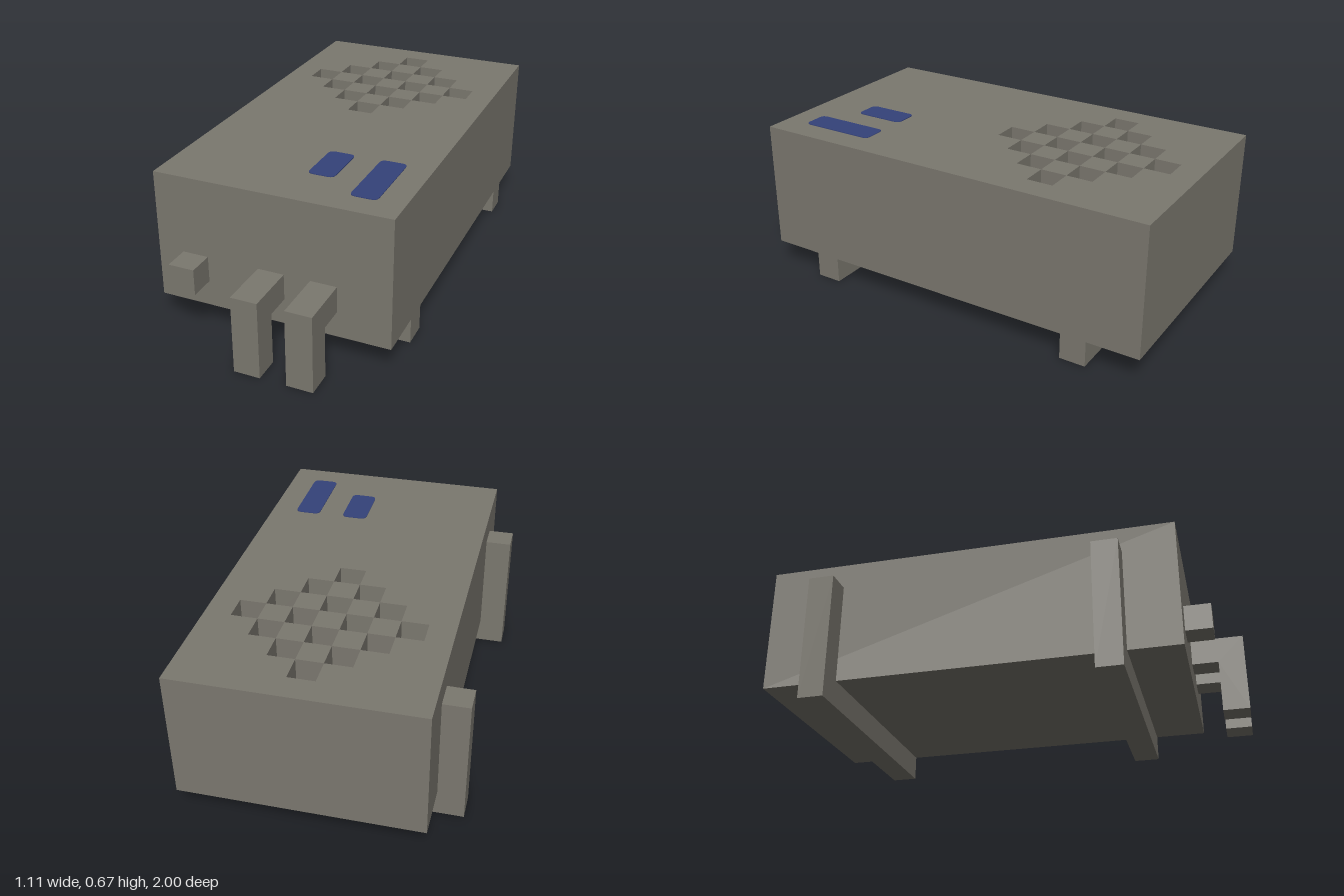
import * as THREE from 'three';
import { mergeGeometries } from 'three/addons/utils/BufferGeometryUtils.js';

const U = 1 / 9; // one modelling unit

export function createModel() {
  const model = new THREE.Group();
  const grey = new THREE.MeshStandardMaterial({ color: 0x7b786f });
  grey.name = 'warm grey';
  const blue = new THREE.MeshStandardMaterial({ color: 0x34427a });
  blue.name = 'navy blue';

  const add = (name, geometry, material = grey) => {
    const mesh = new THREE.Mesh(geometry, material);
    mesh.name = name;
    model.add(mesh);
    return mesh;
  };

  // Box given by its minimum and maximum corners, in units
  const box = (x0, y0, z0, x1, y1, z1) =>
    new THREE.BoxGeometry((x1 - x0) * U, (y1 - y0) * U, (z1 - z0) * U)
      .translate((x0 + x1) / 2 * U, (y0 + y1) / 2 * U, (z0 + z1) / 2 * U);

  // Upward facing rectangle
  const floor = (x0, z0, x1, z1, y) =>
    new THREE.PlaneGeometry((x1 - x0) * U, (z1 - z0) * U)
      .rotateX(-Math.PI / 2)
      .translate((x0 + x1) / 2 * U, y * U, (z0 + z1) / 2 * U);

  // Outline one unit thick
  const extrude = (points) => new THREE.ExtrudeGeometry(
    new THREE.Shape(points.map(([x, y]) => new THREE.Vector2(x * U, y * U))),
    { depth: U, bevelEnabled: false });

  // Body, open at the top where the grille is set in
  const body = box(-4, 1, -9, 5, 6, 7);
  const index = Array.from(body.index.array);
  index.splice(12, 6);
  body.setIndex(index);
  body.clearGroups();
  add('body', body);

  // Top skin in strips around the pits, and the pits of the diamond grille
  const skin = [floor(-4, -9, 5, -8, 6), floor(-4, -1, 5, 7, 6)];
  const pits = [];
  for (let row = -3; row <= 3; row++) {
    const z = row - 5;
    const reach = 3 - Math.abs(row);
    let start = -4;
    for (let x = -reach; x <= reach; x += 2) {
      skin.push(floor(start, z, x, z + 1, 6));
      start = x + 1;
      pits.push(floor(x, z, x + 1, z + 1, 5));
      for (let side = 0; side < 4; side++) {
        pits.push(new THREE.PlaneGeometry(U, U)
          .translate(0, 0, -U / 2)
          .rotateY(side * Math.PI / 2)
          .translate((x + 0.5) * U, 5.5 * U, (z + 0.5) * U));
      }
    }
    skin.push(floor(start, z, 5, z + 1, 6));
  }
  add('topSkin', mergeGeometries(skin));
  add('grillePits', mergeGeometries(pits));

  // Side brackets: a runner under the body with an upright at one end
  for (const [name, z] of [['frontBracket', 4], ['rearBracket', -7]]) {
    add(name, extrude([[-5, 0], [5, 0], [5, 1], [-4, 1], [-4, 5], [-5, 5]]))
      .position.z = z * U;
  }

  // Bent front legs, drawn in profile (z, y) and turned to face forward
  for (const [name, x] of [['rightFrontLeg', 0], ['leftFrontLeg', 2]]) {
    add(name, extrude([[7, 2], [8, 2], [8, 0], [9, 0], [9, 3], [7, 3]])
      .rotateY(-Math.PI / 2).translate((x + 1) * U, 0, 0));
  }

  // Front knob
  add('frontKnob', box(-3, 2, 7, -2, 3, 8));

  // Blue marks with rounded corners on the top
  const mark = (name, x, z, length) => {
    const w = U, l = length * U, r = 0.025;
    const shape = new THREE.Shape()
      .moveTo(r, 0).lineTo(w - r, 0).quadraticCurveTo(w, 0, w, r)
      .lineTo(w, l - r).quadraticCurveTo(w, l, w - r, l)
      .lineTo(r, l).quadraticCurveTo(0, l, 0, l - r)
      .lineTo(0, r).quadraticCurveTo(0, 0, r, 0);
    const plate = new THREE.ExtrudeGeometry(shape, { depth: 0.003, bevelEnabled: false, curveSegments: 4 });
    add(name, plate.rotateX(-Math.PI / 2), blue).position.set(x * U, 6 * U, (z + length) * U);
  };
  mark('shortMark', 1, 3, 2);
  mark('longMark', 3, 3, 3);

  return model;
}
